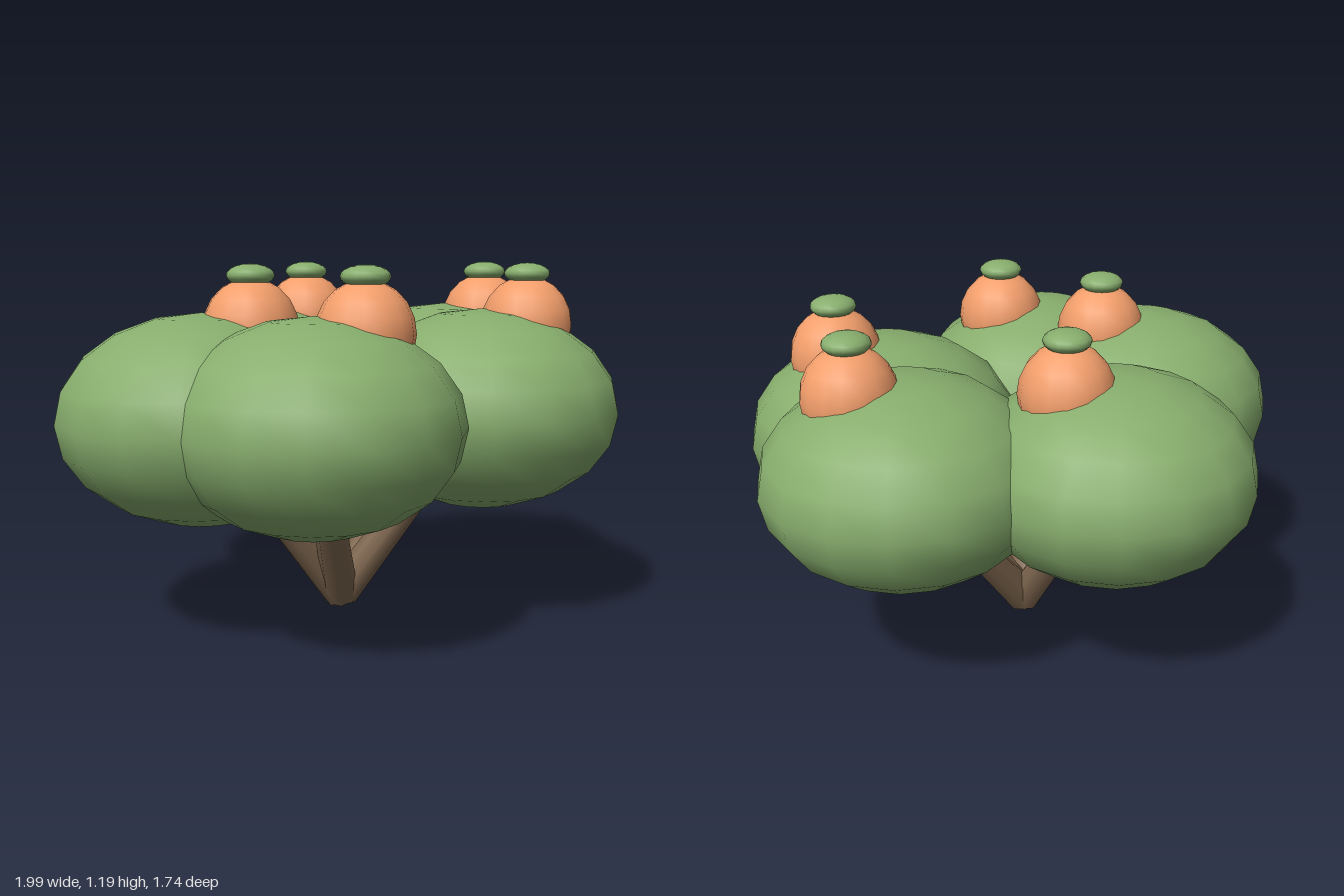
import * as THREE from 'three';

const green = new THREE.MeshStandardMaterial({ color: 0x87ad6d });
const orange = new THREE.MeshStandardMaterial({ color: 0xf29e6b });
const brown = new THREE.MeshStandardMaterial({ color: 0x806850 });

// Foliage centres on the ground plane: [x, z]
const CLUMPS = [[0.04, -0.405], [-0.53, -0.035], [-0.4, 0.348], [0.32, 0.4], [0.53, 0.045]];
const CLUMP_Y = 0.705;
const ROOT = new THREE.Vector3(-0.003, 0.038, 0.05);

function ellipsoid(name, material, rx, ry, x, y, z, segments, rings) {
  const geometry = new THREE.SphereGeometry(1, segments, rings);
  geometry.scale(rx, ry, rx);
  const mesh = new THREE.Mesh(geometry, material);
  mesh.name = name;
  mesh.position.set(x, y, z);
  return mesh;
}

// Tapered limb running from one point to another
function limb(name, from, to, r0, r1) {
  const dir = to.clone().sub(from);
  const mesh = new THREE.Mesh(new THREE.CylinderGeometry(r1, r0, dir.length(), 8), brown);
  mesh.name = name;
  mesh.position.copy(from).addScaledVector(dir, 0.5);
  mesh.quaternion.setFromUnitVectors(new THREE.Vector3(0, 1, 0), dir.normalize());
  return mesh;
}

export function createModel() {
  const model = new THREE.Group();
  model.name = 'fruitBush';
  CLUMPS.forEach(([x, z], i) => {
    const stalk = new THREE.Group();
    stalk.name = `stalk${i + 1}`;
    // Branch up into the foliage
    stalk.add(limb('branch', ROOT, new THREE.Vector3(x, CLUMP_Y, z), 0.063, 0.043));
    // Flattened foliage clump
    stalk.add(ellipsoid('foliage', green, 0.467, 0.336, x, CLUMP_Y, z, 16, 10));
    // Fruit sunk into the clump, with its small green cap
    const fx = x + 0.127, fz = z + 0.089;
    stalk.add(ellipsoid('fruit', orange, 0.155, 0.165, fx, 0.985, fz, 16, 10));
    stalk.add(ellipsoid('fruitCap', green, 0.077, 0.036, fx, 1.157, fz, 16, 10));
    model.add(stalk);
  });
  return model;
}
